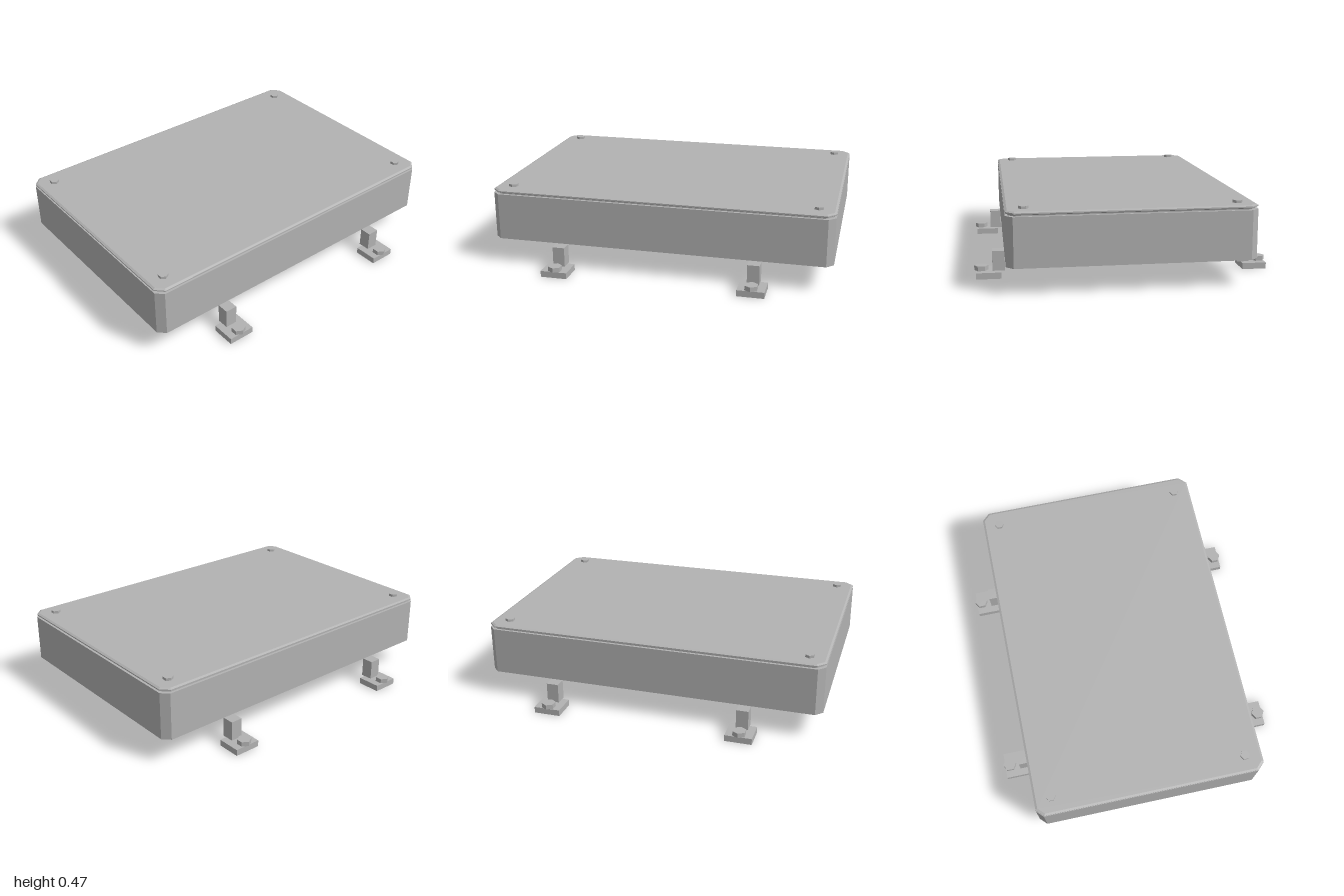
import * as THREE from 'three';

const grey = new THREE.MeshStandardMaterial({ color: 0xb2b2b2 });
grey.name = 'plain grey';

function add(parent, name, geometry, x = 0, y = 0, z = 0) {
  const mesh = new THREE.Mesh(geometry, grey);
  mesh.name = name;
  mesh.position.set(x, y, z);
  parent.add(mesh);
}

// Rectangular slab with clipped corners, from y = 0 up to height, optionally bevelled
function clippedSlab(w, d, clip, height, bevelSize = 0, bevelHeight = 0) {
  const points = [
    [w - clip, -d], [w, -d + clip], [w, d - clip], [w - clip, d],
    [-w + clip, d], [-w, d - clip], [-w, -d + clip], [-w + clip, -d],
  ].map(([x, y]) => new THREE.Vector2(x, y));
  const geometry = new THREE.ExtrudeGeometry(new THREE.Shape(points), {
    depth: height - 2 * bevelHeight,
    bevelEnabled: bevelSize > 0,
    bevelSize,
    bevelOffset: -bevelSize,
    bevelThickness: bevelHeight,
    bevelSegments: 1,
  });
  geometry.translate(0, 0, bevelHeight);
  return geometry.rotateX(-Math.PI / 2);
}

// Hexagonal bolt head with points towards +x and -x
function hexHead(radius, height) {
  const geometry = new THREE.CylinderGeometry(radius, radius, height, 6).toNonIndexed();
  geometry.rotateY(Math.PI / 2);
  geometry.computeVertexNormals();
  return geometry;
}

export function createModel() {
  const model = new THREE.Group();
  model.name = 'enclosure';

  // Box, recessed seal and bevelled lid
  add(model, 'body', clippedSlab(0.68, 1, 0.04, 0.275), 0, 0.15, 0);
  add(model, 'seal', clippedSlab(0.665, 0.985, 0.04, 0.009), 0, 0.424, 0);
  add(model, 'lid', clippedSlab(0.68, 1, 0.045, 0.019, 0.012, 0.006), 0, 0.432, 0);

  for (const sx of [-1, 1]) {
    for (const sz of [-1, 1]) {
      // Lid screw in each corner
      add(model, 'lidScrew', hexHead(0.028, 0.018), sx * 0.58, 0.457, sz * 0.9);

      // Mounting foot: post, base plate and anchor bolt
      const foot = new THREE.Group();
      foot.name = 'mountingFoot';
      foot.position.z = sz * 0.57;
      add(foot, 'post', new THREE.BoxGeometry(0.07, 0.115, 0.07), sx * 0.713, 0.0925, 0);
      add(foot, 'basePlate', new THREE.BoxGeometry(0.14, 0.036, 0.155), sx * 0.77, 0.018, 0);
      add(foot, 'anchorBolt', hexHead(0.04, 0.027), sx * 0.81, 0.0495, 0);
      model.add(foot);
    }
  }
  return model;
}
